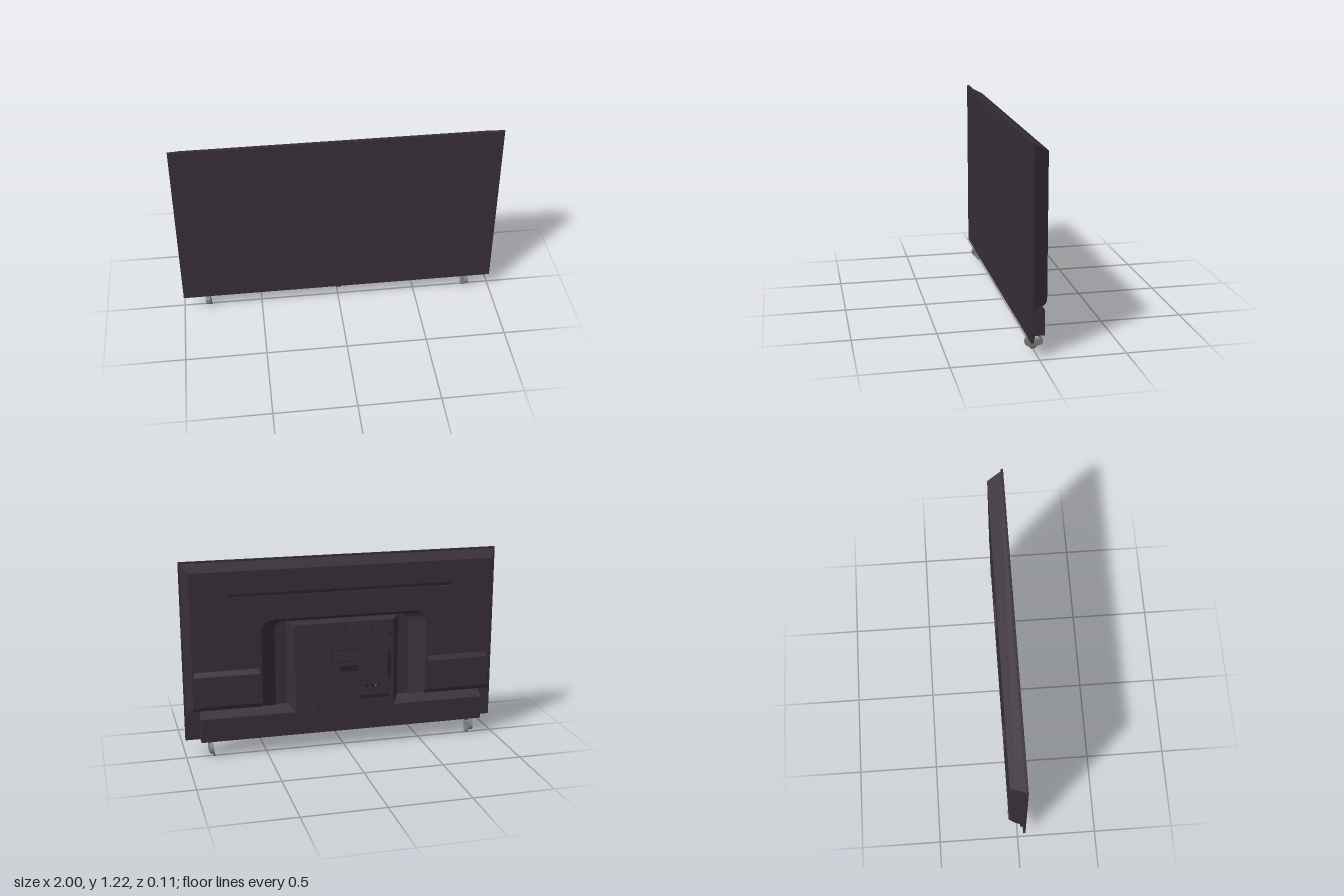
import * as THREE from 'three';

const body = new THREE.MeshStandardMaterial({ color: 0x382f38, side: THREE.DoubleSide });
body.name = 'dark plum plastic';
const dark = new THREE.MeshStandardMaterial({ color: 0x2a232a });
dark.name = 'darker plastic';
const metal = new THREE.MeshStandardMaterial({ color: 0x7c7f7e });
metal.name = 'grey metal';

const BACK = -0.05, FLOOR = 0.02;

function add(parent, name, geometry, material, x = 0, y = 0, z = 0) {
  const mesh = new THREE.Mesh(geometry, material);
  mesh.name = name;
  mesh.position.set(x, y, z);
  parent.add(mesh);
  return mesh;
}

// box given by its limits
function block(parent, name, material, x0, x1, y0, y1, z0, z1) {
  return add(parent, name, new THREE.BoxGeometry(x1 - x0, y1 - y0, z1 - z0), material,
    (x0 + x1) / 2, (y0 + y1) / 2, (z0 + z1) / 2);
}

// flat-shaded surface joining successive rows of points
function loft(rows) {
  const p = [];
  for (let r = 0; r + 1 < rows.length; r++) {
    for (let i = 0; i + 1 < rows[r].length; i++) {
      const a = rows[r][i], b = rows[r][i + 1], c = rows[r + 1][i + 1], d = rows[r + 1][i];
      p.push(...a, ...c, ...b, ...a, ...d, ...c);
    }
  }
  const g = new THREE.BufferGeometry();
  g.setAttribute('position', new THREE.Float32BufferAttribute(p, 3));
  g.computeVertexNormals();
  return g;
}

function polygon(points) {
  return new THREE.Shape(points.map(([x, y]) => new THREE.Vector2(x, y)));
}

function extrude(shape, depth) {
  return new THREE.ExtrudeGeometry(shape, { depth, bevelEnabled: false });
}

// arch with rounded top corners, from its right foot to its left foot
function arch(half, top, bottom, r) {
  const pts = [[half, bottom]];
  for (const [cx, start] of [[half - r, 0], [r - half, Math.PI / 2]]) {
    for (let i = 0; i <= 6; i++) {
      const t = start + (i / 6) * Math.PI / 2;
      pts.push([cx + r * Math.cos(t), top - r + r * Math.sin(t)]);
    }
  }
  pts.push([-half, bottom]);
  return pts;
}

function rectHole(x0, x1, y0, y1) {
  return polygon([[x0, y0], [x0, y1], [x1, y1], [x1, y0]]);
}

function buildHousing(tv) {
  const housing = new THREE.Group();
  housing.name = 'rearHousing';
  tv.add(housing);
  block(housing, 'innerPlate', body, -0.96, 0.96, 0.115, 1.18, FLOOR, 0.036);

  // tapering outer sides, rounded under the two wings
  const rows = [
    [0.036, 0.99, 1.213, 0.305], [-0.025, 0.964, 1.183, 0.305],
    [-0.042, 0.956, 1.174, 0.315], [BACK, 0.952, 1.17, 0.335],
  ].map(([z, h, t, b]) =>
    [[0.525, b], [h, b], [h, t], [-h, t], [-h, b], [-0.525, b]].map(([x, y]) => [x, y, z]));
  add(housing, 'taperedSides', loft(rows), body);

  // rear skin with a large arch cut out, a vent and two grips
  const outer = arch(0.525, 0.86, 0.335, 0.07);
  const skin = polygon([[0.952, 0.335], [0.952, 1.17], [-0.952, 1.17], [-0.952, 0.335],
    ...outer.slice().reverse()]);
  skin.holes.push(rectHole(-0.69, 0.71, 1.01, 1.032));
  for (const s of [-1, 1]) skin.holes.push(rectHole(s * 0.74 - 0.2, s * 0.74 + 0.2, 0.525, 0.56));
  add(housing, 'rearSkin', extrude(skin, 0.02), body, 0, 0, BACK);
  block(housing, 'ventFloor', dark, -0.7, 0.72, 1.0, 1.04, -0.038, -0.034);
  for (const s of [-1, 1]) {
    const grip = block(housing, 'gripSlope', body, s * 0.74 - 0.2, s * 0.74 + 0.2, 0.522, 0.562, -0.04, -0.037);
    grip.rotation.x = 0.45;
  }

  // sloping walls of the arched recess
  const at = (pts, z) => pts.map(([x, y]) => [x, y, z]);
  add(housing, 'recessWalls', loft([
    at(arch(0.525, 0.86, 0.32, 0.07), BACK),
    at(arch(0.47, 0.845, 0.3, 0.06), -0.01),
    at(arch(0.43, 0.83, 0.29, 0.05), FLOOR),
  ]), body);
}

function buildElectronics(tv) {
  const unit = new THREE.Group();
  unit.name = 'electronicsCover';
  tv.add(unit);

  // full-width base with a sloping top, profile in (-z, y)
  const profile = polygon([[-0.035, 0.108], [0.05, 0.108], [0.05, 0.256], [-0.02, 0.297], [-0.035, 0.297]]);
  const base = extrude(profile, 1.82);
  base.rotateY(Math.PI / 2);
  add(unit, 'lowerBase', base, body, -0.91, 0, 0);

  // raised central cover, leaning in slightly toward its top
  const faceZ = (y) => BACK + (y - 0.25) * 0.036;
  const ring = (h, top, z) =>
    [[h, 0.25], [h, top], [-h, top], [-h, 0.25]].map(([x, y]) => [x, y, z ?? faceZ(y)]);
  const face = ring(0.317, 0.81);
  add(unit, 'centralCover', loft([ring(0.36, 0.825, FLOOR), face]), body);
  add(unit, 'centralCoverFace', loft([[face[0], face[3]], [face[1], face[2]]]), body);

  // connector panels, label and slots as thin plates
  const plate = (name, material, x0, x1, y0, y1, lift = 0) => {
    const y = (y0 + y1) / 2;
    const z = Math.max(faceZ(y), BACK) - lift;
    const m = block(unit, name, material, x0, x1, y0, y1, z - 0.002, z + 0.002);
    m.rotation.x = 0.036;
  };
  plate('labelFrame', dark, -0.092, 0.082, 0.555, 0.635);
  plate('label', body, -0.086, 0.076, 0.561, 0.629, 0.001);
  plate('powerSocket', dark, -0.09, 0.035, 0.495, 0.53);
  plate('sideConnectorSlot', dark, -0.3, -0.278, 0.43, 0.61);
  plate('lowerConnectorSlot', dark, -0.29, -0.09, 0.31, 0.33);
  for (const x of [-0.14, -0.18, -0.22]) plate('port', dark, x - 0.01, x + 0.01, 0.38, 0.398);
  plate('portInsert', metal, -0.205, -0.195, 0.384, 0.394);

  // screws
  const screws = [[0.17, 0.76], [-0.17, 0.76], [0.17, 0.28], [-0.17, 0.28], [0, 0.785],
    [-0.295, 0.72], [-0.107, 0.43]];
  for (const [x, y] of screws) {
    const g = new THREE.CylinderGeometry(0.008, 0.008, 0.004, 10);
    g.rotateX(Math.PI / 2);
    add(unit, 'screw', g, dark, x, y, faceZ(y));
  }
}

function buildFoot(name) {
  const foot = new THREE.Group();
  foot.name = name;
  // open bracket
  const bracket = polygon([[-0.016, 0.11], [-0.048, 0.07], [-0.053, 0.055], [-0.05, 0.04], [-0.04, 0.03],
    [0.04, 0.03], [0.05, 0.04], [0.053, 0.055], [0.048, 0.07], [0.016, 0.11]]);
  bracket.holes.push(polygon([[-0.012, 0.1], [0.012, 0.1], [0.038, 0.065], [-0.038, 0.065]]));
  const upper = extrude(bracket, 0.025);
  upper.rotateY(Math.PI / 2);
  add(foot, 'footBracket', upper, metal, 0.835);

  // tapered toe leaning inward
  const toe = extrude(polygon([[-0.05, 0.045], [-0.012, 0], [0.012, 0], [0.05, 0.045]]), 0.01);
  const p = toe.attributes.position;
  for (let i = 0; i < p.count; i++) p.setZ(i, p.getZ(i) + (p.getY(i) - 0.045) * 0.25);
  toe.computeVertexNormals();
  toe.rotateY(Math.PI / 2);
  add(foot, 'footToe', toe, metal, 0.834);
  return foot;
}

export function createModel() {
  const tv = new THREE.Group();
  tv.name = 'television';

  // display with a slim frame edge behind it
  block(tv, 'screen', body, -0.998, 0.998, 0.104, 1.222, 0.042, 0.05);
  block(tv, 'frameEdge', body, -1, 1, 0.102, 1.224, 0.035, 0.046);
  block(tv, 'sensor', dark, -0.015, 0.015, 0.096, 0.104, 0.036, 0.047);

  buildHousing(tv);
  buildElectronics(tv);

  const left = buildFoot('leftFoot');
  const right = buildFoot('rightFoot');
  right.rotation.y = Math.PI;
  tv.add(left, right);
  return tv;
}
